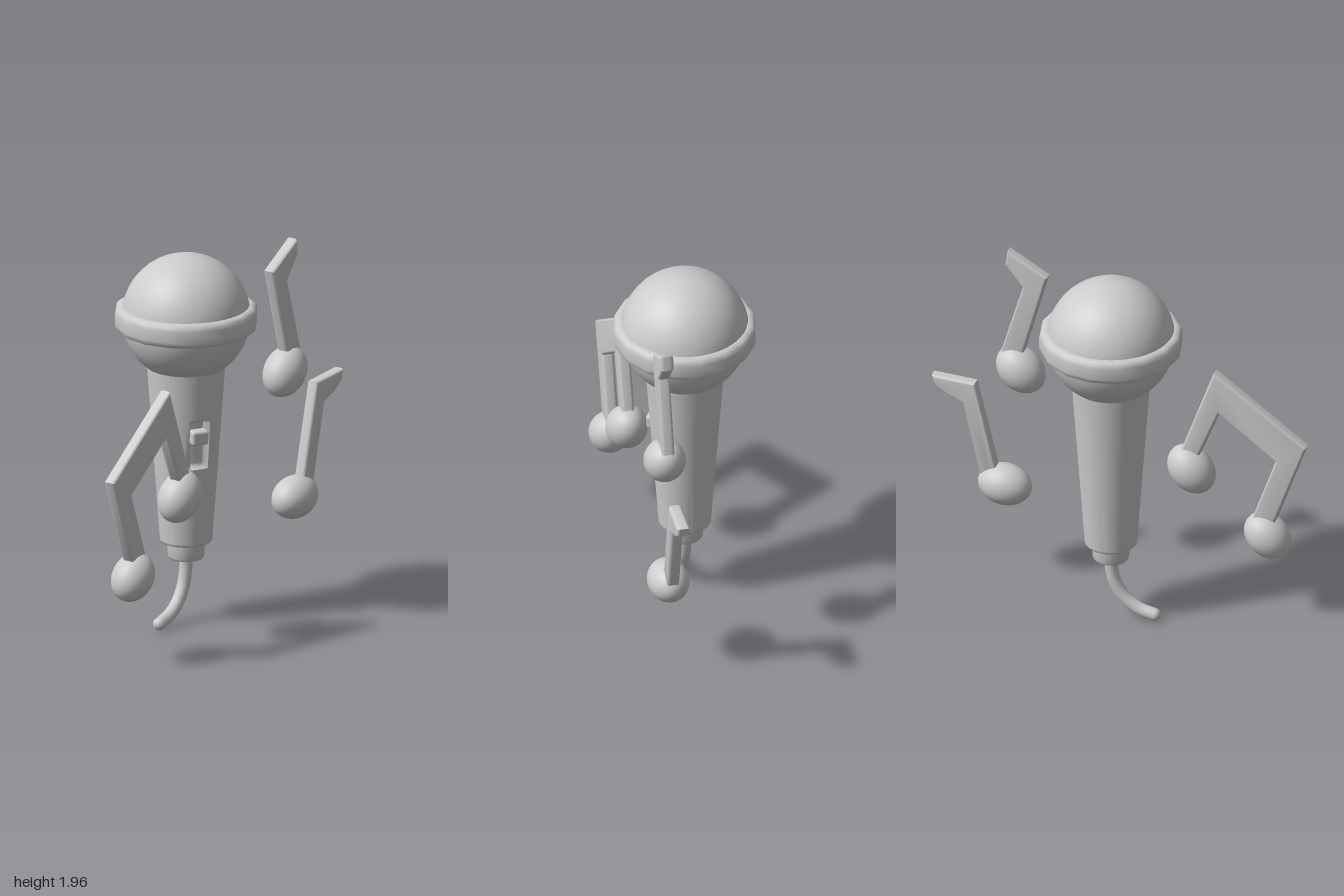
import * as THREE from 'three';
import { mergeVertices, toCreasedNormals } from 'three/addons/utils/BufferGeometryUtils.js';
import { RoundedBoxGeometry } from 'three/addons/geometries/RoundedBoxGeometry.js';

const material = new THREE.MeshStandardMaterial({ color: 0xcccccc });
const AXIS_X = -0.02;          // microphone axis
const NOTE_Z = 0.225;          // plane of the notes
const SWITCH_ANGLE = -0.54;    // switch direction around the body, from +z

function add(parent, name, geometry, x = 0, y = 0, z = 0) {
  const mesh = new THREE.Mesh(geometry, material);
  mesh.name = name;
  mesh.position.set(x, y, z);
  parent.add(mesh);
  return mesh;
}

function lathe(points, segments, crease = 0.8) {
  const g = new THREE.LatheGeometry(points.map(p => new THREE.Vector2(...p)), segments, Math.PI);
  return toCreasedNormals(g, crease);
}

// Tapered body with a slot pressed in for the switch
function bodyGeometry() {
  const profile = [[0, 0.43], [0.118, 0.43], [0.128, 0.433], [0.134, 0.44]];
  for (let i = 1; i <= 96; i++) profile.push([0.134 + 0.068 * i / 96, 0.44 + 0.96 * i / 96]);
  let g = new THREE.LatheGeometry(profile.map(p => new THREE.Vector2(...p)), 96, Math.PI);
  const pos = g.attributes.position;
  const inside = (v, half) => 1 - THREE.MathUtils.smoothstep(Math.abs(v), half - 0.014, half);
  for (let i = 0; i < pos.count; i++) {
    const x = pos.getX(i), y = pos.getY(i), z = pos.getZ(i), r = Math.hypot(x, z);
    if (r < 0.01) continue;
    const across = (Math.atan2(x, z) - SWITCH_ANGLE) * r;
    const k = 1 - 0.032 * inside(across, 0.057) * inside(y - 0.995, 0.135) / r;
    pos.setXYZ(i, x * k, y, z * k);
  }
  g.deleteAttribute('uv');
  g.deleteAttribute('normal');
  g = mergeVertices(g);
  return toCreasedNormals(g, 0.9);
}

// Flat stem with softened edges, plus ellipsoid heads [x, y, long, short, tilt]
function note(parent, name, outline, heads) {
  const group = new THREE.Group();
  group.name = name;
  const shape = new THREE.Shape(outline.map(p => new THREE.Vector2(...p)));
  const bevel = 0.016, thickness = 0.066;
  const stem = new THREE.ExtrudeGeometry(shape, {
    depth: thickness - 2 * bevel, bevelEnabled: true, bevelThickness: bevel,
    bevelSize: bevel, bevelOffset: -bevel, bevelSegments: 4,
  });
  stem.translate(0, 0, bevel - thickness / 2);
  add(group, 'noteStem', toCreasedNormals(stem, 0.6));
  for (const [x, y, long, short, tilt] of heads) {
    const head = add(group, 'noteHead', new THREE.SphereGeometry(1, 32, 24), x, y, 0);
    head.scale.set(long, short, 0.108);
    head.rotation.z = tilt;
  }
  group.position.z = NOTE_Z;
  parent.add(group);
}

export function createModel() {
  const model = new THREE.Group();
  model.name = 'microphoneWithNotes';
  const mic = new THREE.Group();
  mic.name = 'microphone';
  mic.position.x = AXIS_X;
  model.add(mic);

  // Head and its sixteen-sided band
  add(mic, 'head', new THREE.SphereGeometry(0.33, 64, 48), 0, 1.635, 0);
  const band = [[0.30, 1.57], [0.335, 1.57], [0.352, 1.575], [0.364, 1.587], [0.368, 1.605],
    [0.368, 1.665], [0.364, 1.683], [0.352, 1.695], [0.335, 1.70], [0.30, 1.70]];
  add(mic, 'headBand', lathe(band, 16));

  // Body, collar and cable
  add(mic, 'body', bodyGeometry());
  const collar = [[0, 0.34], [0.078, 0.34], [0.089, 0.344], [0.094, 0.355], [0.094, 0.44]];
  add(mic, 'collar', lathe(collar, 48));
  const path = new THREE.CatmullRomCurve3([[0, 0.37], [-0.003, 0.29], [-0.022, 0.205],
    [-0.072, 0.122], [-0.145, 0.068], [-0.232, 0.043]].map(([x, y]) => new THREE.Vector3(x, y, 0)));
  add(mic, 'cable', new THREE.TubeGeometry(path, 32, 0.034, 16));
  add(mic, 'cableTip', new THREE.SphereGeometry(0.034, 16, 12), -0.232, 0.043, 0);

  // Sliding switch, leaning with the taper
  const pivot = new THREE.Group();
  pivot.name = 'switch';
  pivot.rotation.y = SWITCH_ANGLE;
  mic.add(pivot);
  const knob = add(pivot, 'switchKnob', new RoundedBoxGeometry(0.09, 0.077, 0.06, 4, 0.014), 0, 1.037, 0.166);
  knob.rotation.x = 0.07;

  // Paired notes joined by a beam
  note(model, 'beamedNotes', [[-1.0, 1.04], [-0.508, 1.406], [-0.33, 0.91], [-0.37, 0.82], [-0.41, 0.85],
    [-0.535, 1.165], [-0.838, 0.935], [-0.71, 0.57], [-0.77, 0.5], [-0.83, 0.56]],
  [[-0.79, 0.48, 0.136, 0.108, 0.75], [-0.382, 0.805, 0.142, 0.112, 0.85]]);

  // Single notes with flags
  note(model, 'upperNote', [[0.383, 1.813], [0.595, 1.938], [0.606, 1.856], [0.513, 1.738],
    [0.632, 1.33], [0.58, 1.26], [0.524, 1.29]],
  [[0.53, 1.24, 0.142, 0.113, 0.75]]);
  note(model, 'lowerNote', [[0.768, 1.123], [1.0, 1.136], [0.984, 1.078], [0.925, 1.035], [0.834, 1.0],
    [0.735, 0.57], [0.68, 0.55], [0.643, 0.6]],
  [[0.615, 0.543, 0.142, 0.109, 0.14]]);

  return model;
}
